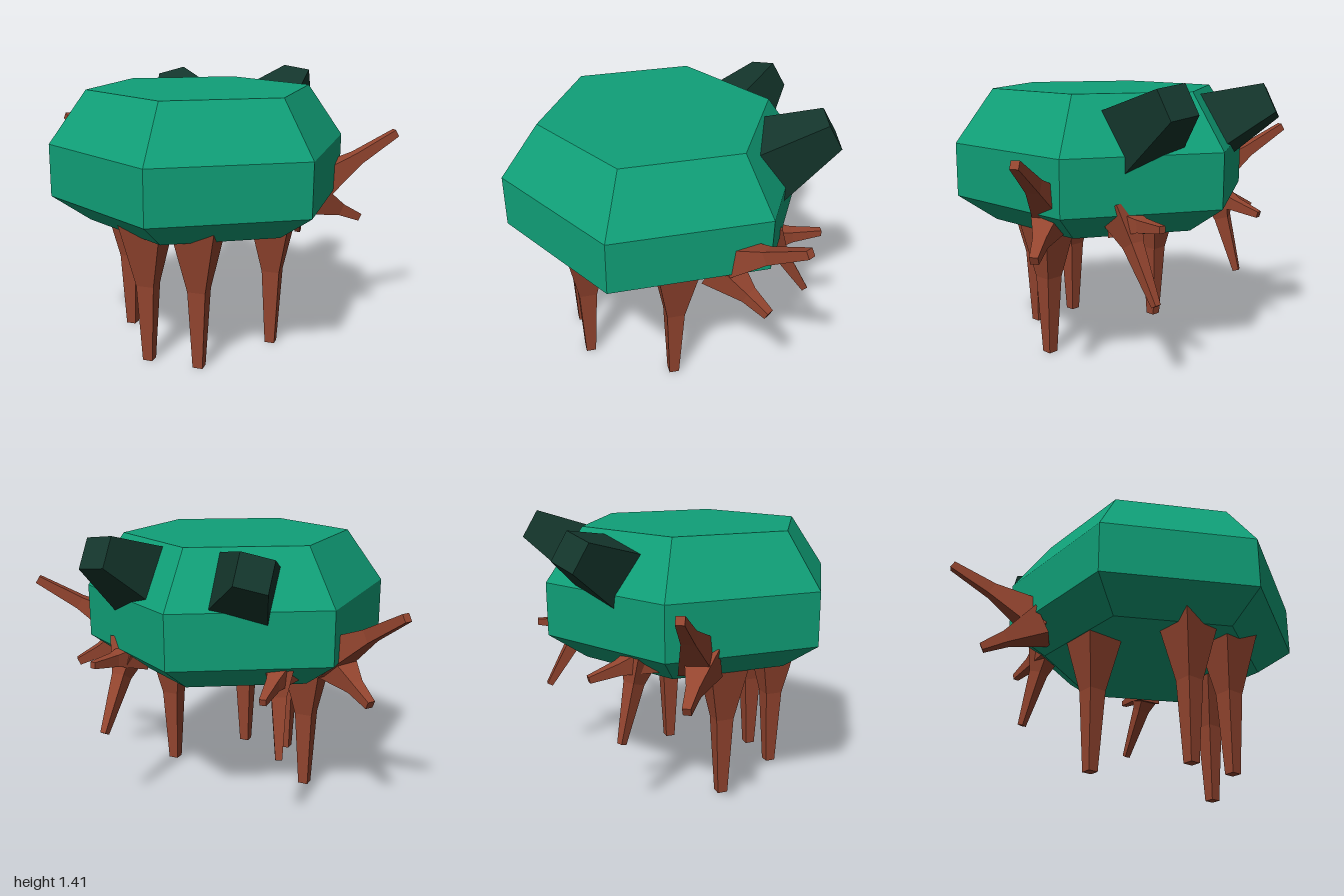
import * as THREE from 'three';

const green = new THREE.MeshStandardMaterial({ color: 0x10a078, flatShading: true });
const brown = new THREE.MeshStandardMaterial({ color: 0x94452f, flatShading: true });
const dark = new THREE.MeshStandardMaterial({ color: 0x14362c, flatShading: true });
const V = (p) => new THREE.Vector3(...p);

// Faceted solid turned from [radius, height] pairs, listed from bottom to top
function faceted(profile, sides, start = 0) {
  const pts = [[0, profile[0][1]], ...profile, [0, profile.at(-1)[1]]];
  const geo = new THREE.LatheGeometry(pts.map((p) => new THREE.Vector2(...p)), sides, start).toNonIndexed();
  geo.computeVertexNormals();
  return geo;
}

// Square tapered limb: sections are [distance back from the tip, half width], base first.
// "edge" sets the roll of the square; by default one side stays level.
function limb(name, material, tip, axis, sections, edge) {
  const geo = faceted(sections.map(([d, h]) => [h * Math.SQRT2, -d]), 4, Math.PI / 4);
  const y = V(axis).normalize();
  const x = edge ? V(edge) : new THREE.Vector3().crossVectors(y, V([0, 1, 0]));
  x.addScaledVector(y, -x.dot(y)).normalize();
  const z = new THREE.Vector3().crossVectors(x, y);
  geo.applyMatrix4(new THREE.Matrix4().makeBasis(x, y, z).setPosition(...tip));
  const mesh = new THREE.Mesh(geo, material);
  mesh.name = name;
  return mesh;
}

// Limb running from a point inside the body to its tip
function spike(name, from, tip, sections) {
  return limb(name, brown, tip, V(tip).sub(V(from)).toArray(), sections);
}

export function createModel() {
  const model = new THREE.Group();

  // Six-sided bevelled body
  const body = new THREE.Mesh(
    faceted([[0.585, 0.68], [0.78, 0.815], [0.78, 1.085], [0.585, 1.355]], 6), green);
  body.position.set(0.025, 0, 0.025);
  body.name = 'body';
  model.add(body);

  // Four standing legs
  for (const [x, z] of [[-0.38, 0.03], [0.43, 0.03], [-0.11, 0.44], [0.16, 0.44]]) {
    model.add(limb('leg', brown, [x, 0, z], [0, -1, 0],
      [[0.74, 0.11], [0.41, 0.046], [0, 0.026]], [1, 0, 0]));
  }

  // Raised and lowered side arms, mirrored
  for (const s of [-1, 1]) {
    model.add(spike('upperArm', [s * 0.5, 0.765, -0.137], [s * 0.985, 1.1, -0.415],
      [[0.6, 0.092], [0.25, 0.033], [0, 0.02]]));
    model.add(spike('lowerArm', [s * 0.56, 0.79, -0.14], [s * 0.82, 0.642, -0.325],
      [[0.33, 0.085], [0.13, 0.032], [0, 0.02]]));
  }

  // Short rear claws and long rear legs
  const claw = [[0.32, 0.07], [0.15, 0.03], [0, 0.016]];
  const rear = [[0.48, 0.08], [0.3, 0.036], [0, 0.016]];
  model.add(spike('leftRearClaw', [0.38, 0.765, -0.44], [0.434, 0.787, -0.735], claw));
  model.add(spike('leftRearLeg', [0.4, 0.8, -0.46], [0.418, 0.42, -0.69], rear));
  model.add(spike('rightRearClaw', [-0.4, 0.77, -0.4], [-0.418, 0.705, -0.66], claw));
  model.add(spike('rightRearLeg', [-0.39, 0.8, -0.4], [-0.442, 0.37, -0.515], rear));

  // Dark tapered blocks on the back
  const block = [[0.5, 0.19], [0, 0.078]];
  model.add(limb('leftBackBlock', dark, [0.37, 1.337, -0.758], [0.23, 0.5, -0.84], block, [0.155, -0.02, 0.03]));
  model.add(limb('rightBackBlock', dark, [-0.4, 1.3, -0.72], [-0.5, 0.43, -0.75], block, [-0.15, -0.045, 0.077]));

  return model;
}
